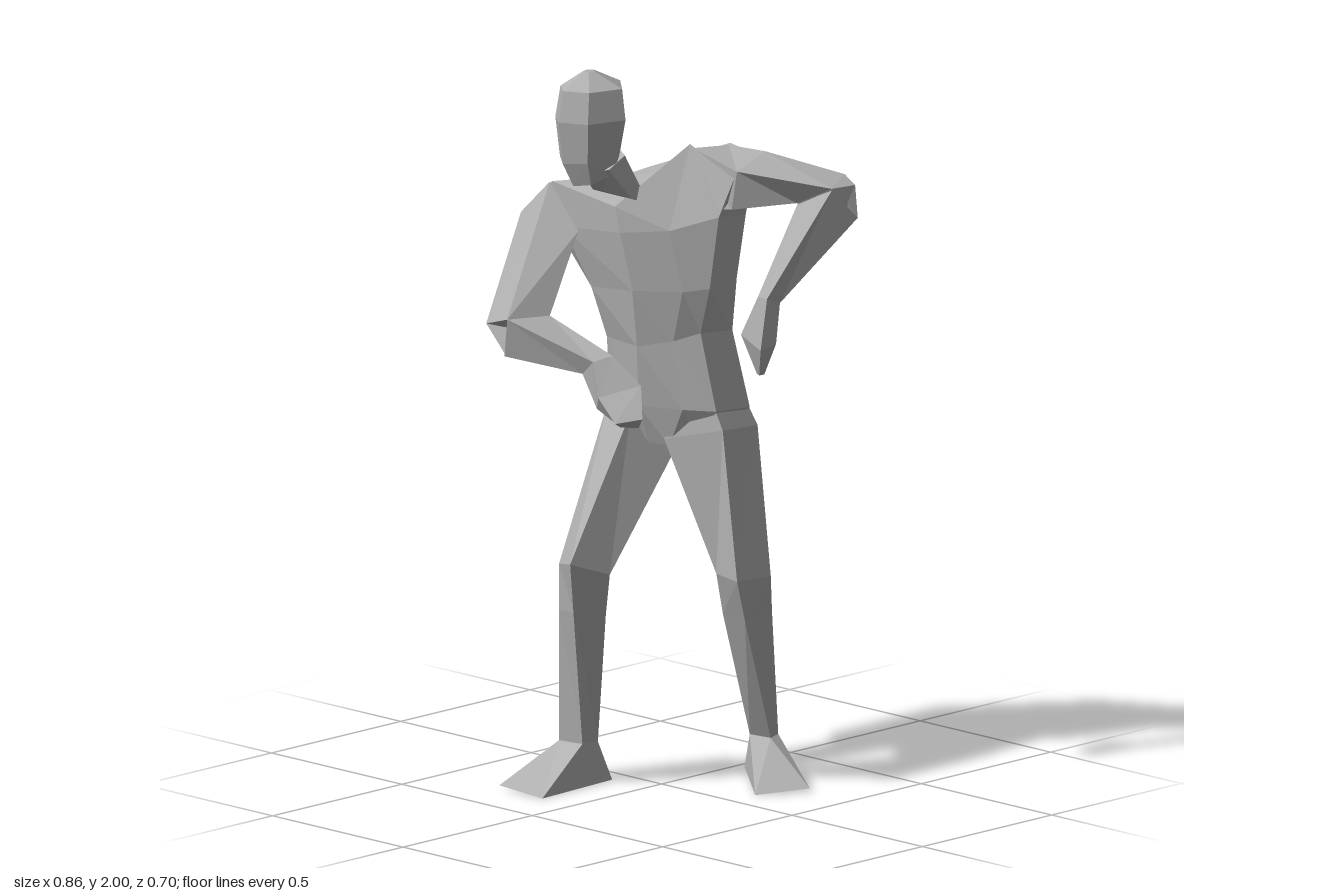
import * as THREE from 'three';

const skin = new THREE.MeshStandardMaterial({ color: 0xb0b0b0 });

// Closed, faceted skin through a series of cross-sections [[x, y, z], ...]
function loft(name, rings) {
  const n = rings[0].length, pos = [];
  const tri = (a, b, c) => pos.push(...a, ...b, ...c);
  for (let i = 0; i < rings.length - 1; i++) {
    for (let j = 0; j < n; j++) {
      const k = (j + 1) % n, a = rings[i][j], b = rings[i][k], c = rings[i + 1][k], d = rings[i + 1][j];
      tri(a, b, c);
      tri(a, c, d);
    }
  }
  // fan caps on both ends
  const cap = (ring, flip) => {
    const mid = [0, 1, 2].map(q => ring.reduce((s, p) => s + p[q], 0) / n);
    ring.forEach((p, j) => {
      const r = ring[(j + 1) % n];
      flip ? tri(mid, r, p) : tri(mid, p, r);
    });
  };
  cap(rings[0], true);
  cap(rings[rings.length - 1], false);
  // signed volume tells whether the faces point outward
  const v = [0, 1, 2].map(() => new THREE.Vector3());
  let volume = 0;
  const o = rings[0][0];
  for (let i = 0; i < pos.length; i += 9) {
    v.forEach((p, q) => p.set(pos[i + q * 3] - o[0], pos[i + q * 3 + 1] - o[1], pos[i + q * 3 + 2] - o[2]));
    volume += v[0].dot(v[1].clone().cross(v[2]));
  }
  if (volume < 0) {
    for (let i = 0; i < pos.length; i += 9) {
      for (let q = 0; q < 3; q++) [pos[i + 3 + q], pos[i + 6 + q]] = [pos[i + 6 + q], pos[i + 3 + q]];
    }
  }
  const geo = new THREE.BufferGeometry();
  geo.setAttribute('position', new THREE.Float32BufferAttribute(pos, 3));
  geo.computeVertexNormals();
  const mesh = new THREE.Mesh(geo, skin);
  mesh.name = name;
  return mesh;
}

// Six-sided section with one corner to the front; tilt lowers the front
function hex(x, y, z, rx, rz, tilt = 0) {
  return Array.from({ length: 6 }, (_, i) => {
    const a = i * Math.PI / 3, c = Math.cos(a);
    return [x + rx * Math.sin(a), y - tilt * c, z + rz * c];
  });
}

// Head section: the turned head outline (x, z offsets) scaled about its middle
const headOutline = [[-0.02, 0.113], [0.056, 0.076], [0.09, -0.035], [0.007, -0.11], [-0.085, -0.042], [-0.077, 0.068]];
const headRing = (x, y, z, s, tilt = 0) =>
  headOutline.map(([dx, dz]) => [x + dx * s, y - dz * tilt, z + dz * s]);

export function createModel() {
  const model = new THREE.Group();
  model.name = 'figure';
  const add = (name, ...rings) => model.add(loft(name, rings));

  // Head and neck
  add('head',
    headRing(-0.13, 1.71, 0.13, 0.6, 0.2),
    headRing(-0.138, 1.77, 0.13, 0.85, 0.15),
    headRing(-0.139, 1.87, 0.125, 1),
    headRing(-0.142, 1.955, 0.12, 0.88),
    headRing(-0.153, 1.997, 0.125, 0.15));
  add('neck',
    hex(-0.125, 1.63, 0.03, 0.085, 0.07, -0.03),
    hex(-0.135, 1.75, 0.105, 0.078, 0.062, 0.03));

  // Torso: right, front, front left, left, back left, spine, back right, right flank
  add('torso',
    [[-0.33, 1.65, 0.09], [-0.09, 1.62, 0.09], [0.01, 1.78, -0.1], [0.17, 1.71, -0.11],
      [0.14, 1.75, -0.23], [0.05, 1.77, -0.215], [-0.2, 1.67, -0.155], [-0.42, 1.56, 0.105]],
    [[-0.29, 1.53, 0.09], [-0.07, 1.55, 0.09], [0.04, 1.56, 0.01], [0.14, 1.6, -0.08],
      [0.105, 1.58, -0.22], [0, 1.56, -0.275], [-0.25, 1.52, -0.135], [-0.37, 1.5, 0.03]],
    [[-0.21, 1.37, 0.06], [-0.04, 1.39, 0.073], [0.07, 1.39, -0.01], [0.125, 1.4, -0.06],
      [0.085, 1.4, -0.205], [-0.03, 1.4, -0.285], [-0.2, 1.4, -0.19], [-0.275, 1.39, -0.04]],
    [[-0.18, 1.23, 0.03], [-0.04, 1.23, 0.055], [0.045, 1.25, 0], [0.09, 1.27, -0.06],
      [0.068, 1.25, -0.205], [-0.03, 1.25, -0.285], [-0.15, 1.25, -0.235], [-0.215, 1.23, -0.1]],
    [[-0.19, 1.08, 0.01], [-0.05, 1.06, 0.04], [0.07, 1.06, -0.01], [0.15, 1.06, -0.06],
      [0.12, 1.04, -0.22], [0, 1.02, -0.27], [-0.13, 1.04, -0.235], [-0.225, 1.05, -0.08]],
    [[-0.13, 0.98, -0.02], [-0.05, 0.95, 0], [0.02, 0.95, -0.01], [0.08, 0.98, -0.06],
      [0.07, 0.96, -0.2], [0, 0.94, -0.22], [-0.08, 0.96, -0.19], [-0.14, 0.98, -0.08]]);

  // Legs, sections run front outer, front inner, back inner, back outer
  const rightKnee = [[-0.18, 0.625, 0.215], [-0.065, 0.655, 0.288], [-0.035, 0.61, 0.165], [-0.15, 0.605, 0.165]];
  const rightAnkle = [[-0.235, 0.11, 0.16], [-0.145, 0.115, 0.16], [-0.15, 0.11, 0.095], [-0.225, 0.11, 0.095]];
  add('rightThigh',
    [[-0.17, 1.2, -0.03], [-0.08, 1.12, 0], [-0.03, 1, -0.1], [-0.13, 1.15, -0.18]],
    [[-0.222, 1.04, -0.02], [-0.09, 1.03, 0.03], [-0.03, 0.94, -0.1], [-0.17, 1, -0.18]],
    rightKnee);
  add('rightShin', rightKnee,
    [[-0.195, 0.49, 0.2], [-0.085, 0.51, 0.255], [-0.065, 0.49, 0.15], [-0.185, 0.49, 0.065]],
    rightAnkle);
  add('rightFoot', rightAnkle,
    [[-0.275, 0.01, 0.35], [-0.115, 0, 0.345], [-0.13, 0, 0.06], [-0.21, 0.01, 0.06]]);

  const leftKnee = [[0.27, 0.61, -0.02], [0.16, 0.61, -0.05], [0.155, 0.6, -0.15], [0.255, 0.6, -0.165]];
  const leftAnkle = [[0.17, 0.115, -0.25], [0.1, 0.115, -0.24], [0.095, 0.11, -0.28], [0.14, 0.11, -0.31]];
  add('leftThigh',
    [[0.07, 1.2, -0.06], [0.01, 1.08, -0.02], [0.02, 1, -0.15], [0.06, 1.15, -0.2]],
    [[0.17, 1.01, -0.065], [0.01, 0.97, 0], [0.02, 0.94, -0.15], [0.135, 0.99, -0.235]],
    leftKnee);
  add('leftShin', leftKnee,
    [[0.25, 0.49, -0.07], [0.145, 0.49, -0.09], [0.115, 0.49, -0.235], [0.225, 0.49, -0.2]],
    leftAnkle);
  add('leftFoot', leftAnkle,
    [[0.35, 0.01, -0.22], [0.27, 0, -0.09], [0.05, 0.01, -0.27], [0.1, 0.01, -0.345]]);

  // Right arm, bent across the front
  const rightWrist = [[-0.03, 1.22, 0.235], [-0.07, 1.18, 0.235], [-0.03, 1.17, 0.175], [0, 1.235, 0.19]];
  add('rightUpperArm',
    [[-0.33, 1.65, 0.1], [-0.43, 1.55, 0.11], [-0.32, 1.49, 0.03], [-0.22, 1.53, 0.1]],
    [[-0.25, 1.32, 0.345], [-0.36, 1.285, 0.315], [-0.28, 1.21, 0.32], [-0.2, 1.32, 0.23]]);
  add('rightForearm',
    [[-0.25, 1.32, 0.345], [-0.275, 1.21, 0.33], [-0.27, 1.22, 0.25], [-0.2, 1.32, 0.23]],
    rightWrist);
  add('rightHand', rightWrist,
    [[0.01, 1.13, 0.255], [-0.02, 1.09, 0.23], [0.03, 1.11, 0.15], [0.08, 1.16, 0.16]],
    [[0.08, 1.07, 0.26], [0.06, 1.05, 0.22], [0.1, 1.05, 0.19], [0.125, 1.08, 0.2]]);

  // Left arm, raised sideways with the forearm hanging
  const leftWrist = [[0.315, 1.4, -0.09], [0.315, 1.38, -0.14], [0.28, 1.38, -0.15], [0.28, 1.4, -0.09]];
  add('leftUpperArm',
    [[0.05, 1.765, -0.21], [0.02, 1.77, -0.1], [0.13, 1.62, -0.08], [0.1, 1.6, -0.21]],
    [[0.16, 1.762, -0.238], [0.18, 1.73, -0.11], [0.16, 1.62, -0.11], [0.15, 1.62, -0.22]],
    [[0.35, 1.71, -0.355], [0.4, 1.695, -0.255], [0.29, 1.64, -0.23], [0.31, 1.64, -0.32]],
    [[0.4, 1.69, -0.345], [0.4, 1.695, -0.255], [0.41, 1.61, -0.3], [0.425, 1.605, -0.33]]);
  add('leftForearm',
    [[0.4, 1.69, -0.255], [0.425, 1.605, -0.33], [0.34, 1.61, -0.32], [0.29, 1.64, -0.235]],
    leftWrist);
  add('leftHand', leftWrist,
    [[0.32, 1.26, -0.06], [0.32, 1.27, -0.12], [0.235, 1.3, -0.145], [0.235, 1.29, -0.07]],
    [[0.285, 1.18, -0.09], [0.285, 1.18, -0.11], [0.275, 1.185, -0.11], [0.275, 1.185, -0.09]]);

  return model;
}
